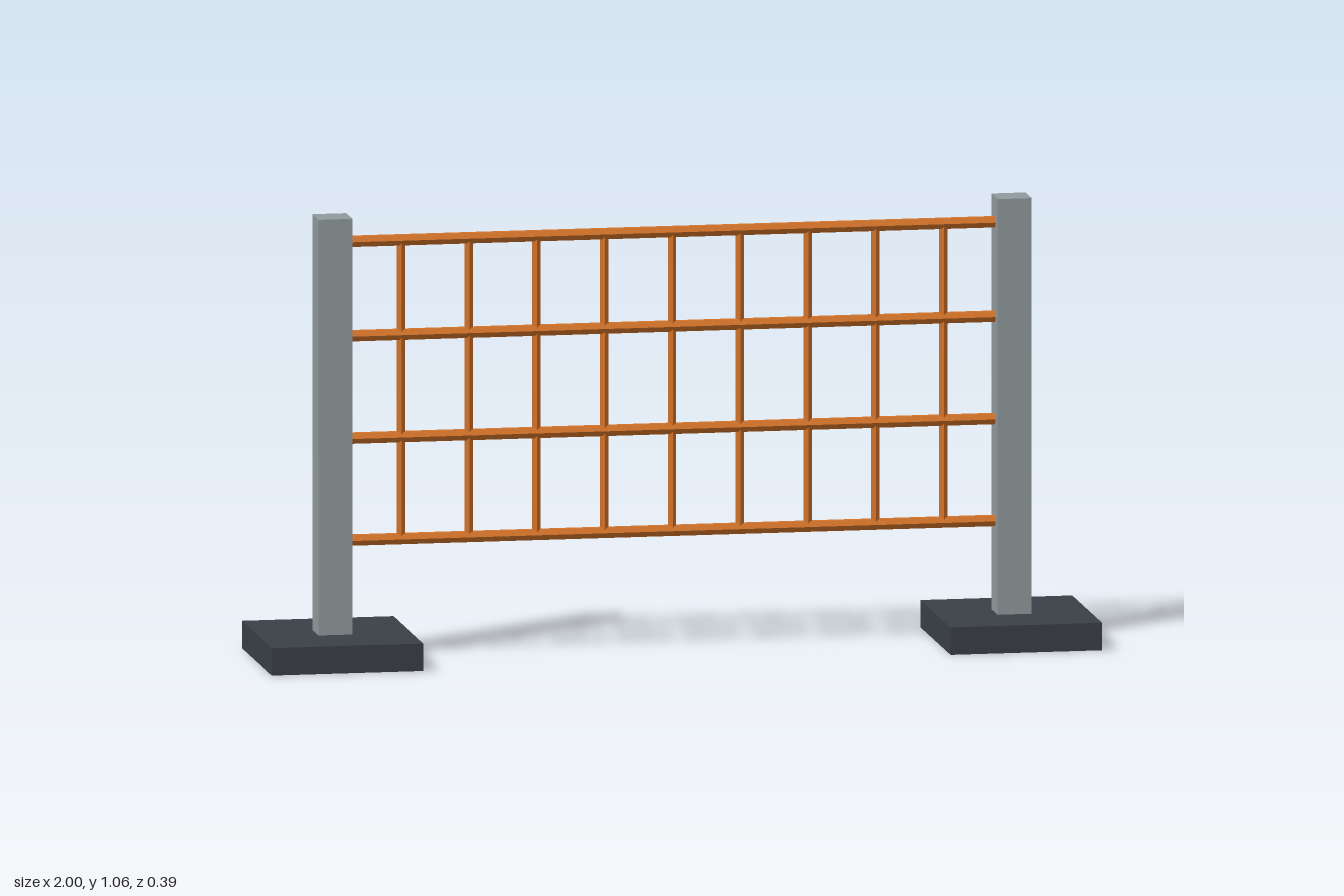
import * as THREE from 'three';

export function createModel() {
  const model = new THREE.Group();
  const steel = new THREE.MeshStandardMaterial({ name: 'postGrey', color: 0x919b9d });
  const rubber = new THREE.MeshStandardMaterial({ name: 'baseCharcoal', color: 0x3a4047 });
  const orange = new THREE.MeshStandardMaterial({ name: 'barOrange', color: 0xd4742a });

  const add = (name, geometry, material, x, y) => {
    const mesh = new THREE.Mesh(geometry, material);
    mesh.name = name;
    mesh.position.set(x, y, 0);
    model.add(mesh);
    return mesh;
  };

  // Hexagonal bar, standing along y, with hard facets
  const bar = (radius, length) => {
    const g = new THREE.CylinderGeometry(radius, radius, length, 6).toNonIndexed();
    g.computeVertexNormals();
    return g;
  };

  // Base slabs and square posts
  for (const [side, s] of [['left', 1], ['right', -1]]) {
    add(side + 'Base', new THREE.BoxGeometry(0.365, 0.066, 0.394), rubber, s * 0.8175, 0.033);
    add(side + 'Post', new THREE.BoxGeometry(0.082, 1.055, 0.082), steel, s * 0.818, 0.5375);
  }

  // Horizontal rails between the posts
  const railYs = [0.286, 0.531, 0.777, 1.004];
  for (const y of railYs) {
    add('rail', bar(0.0145, 1.57), orange, 0, y).rotation.z = Math.PI / 2;
  }

  // Thin upright bars from the lowest rail to the highest
  const bottom = railYs[0], top = railYs[3];
  for (let i = -4; i <= 4; i++) {
    add('uprightBar', bar(0.0105, top - bottom), orange, i * 0.1633, (top + bottom) / 2);
  }
  return model;
}
